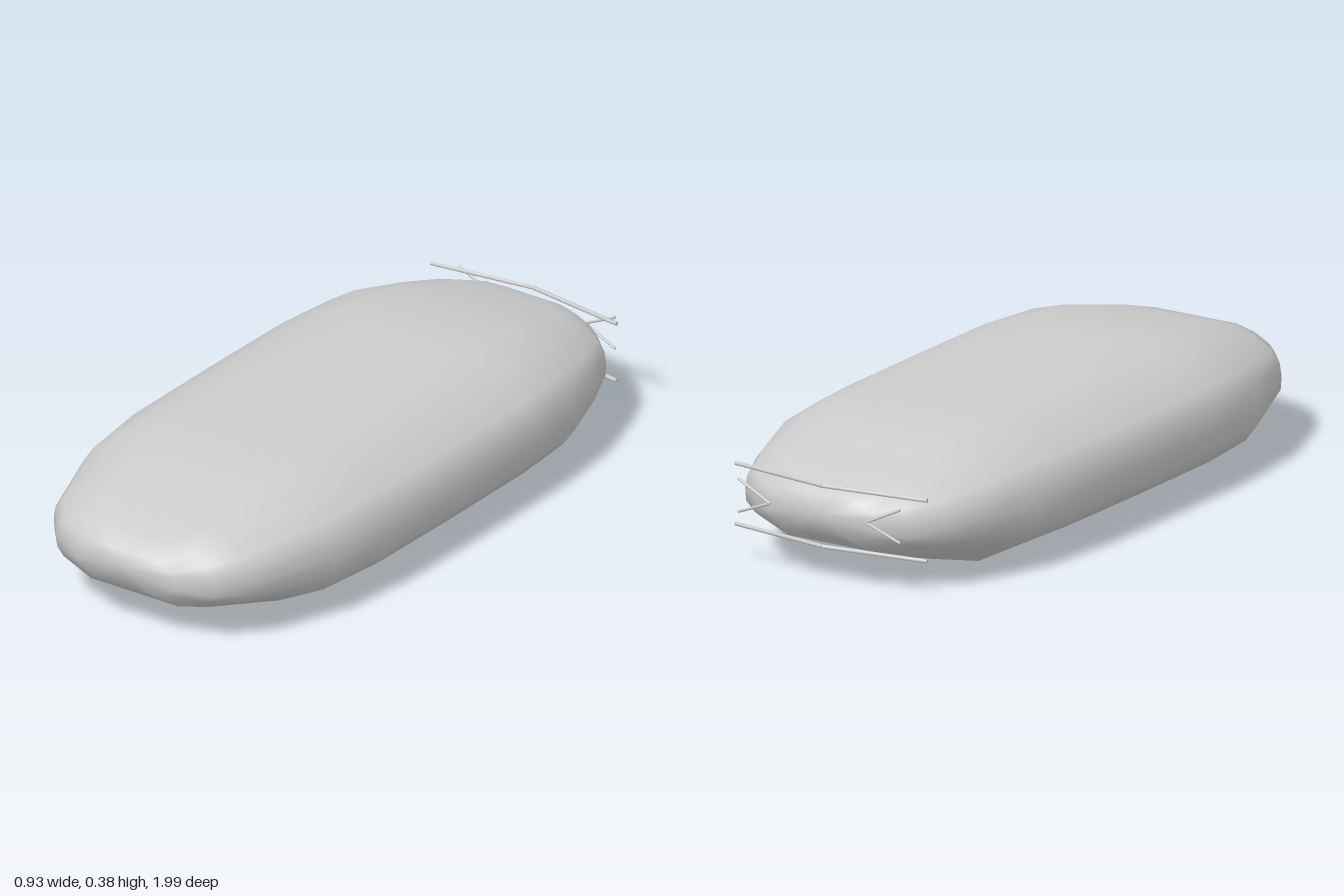
import * as THREE from 'three';

const material = new THREE.MeshStandardMaterial({ color: 0xcccccc });

// Right half of the unit cross-section, from top centre to bottom centre
const half = [[0, 1], [0.25, 1], [0.5, 1], [0.72, 0.85], [0.91, 0.56], [0.98, 0.32], [1, 0],
  [0.99, -0.33], [0.91, -0.57], [0.74, -0.78], [0.56, -1], [0.28, -1], [0, -1]];
const section = [...half, ...half.slice(1, -1).reverse().map(([x, y]) => [-x, y])];

// Stations along the body: z, half width, top, bottom
const stations = [
  [0.97, 0.17, 0.25, 0.14],
  [0.92, 0.27, 0.29, 0.1],
  [0.83, 0.345, 0.315, 0.075],
  [0.57, 0.435, 0.375, 0.005],
  [0.35, 0.46, 0.385, 0],
  [0, 0.463, 0.385, 0],
  [-0.35, 0.46, 0.385, 0],
  [-0.55, 0.44, 0.38, 0],
  [-0.72, 0.39, 0.34, 0.045],
  [-0.85, 0.335, 0.305, 0.08],
  [-0.92, 0.26, 0.285, 0.105],
  [-0.965, 0.18, 0.26, 0.14],
];

// Smooth loft through the stations, closed by a point at each end
function bodyGeometry() {
  const positions = [], index = [], n = section.length, last = stations.length - 1;
  for (const [z, w, top, bottom] of stations) {
    const middle = (top + bottom) / 2, h = (top - bottom) / 2;
    for (const [x, y] of section) positions.push(x * w, middle + y * h, z);
  }
  const front = positions.length / 3, back = front + 1;
  positions.push(0, 0.21, 0.993, 0, 0.21, -1);
  for (let j = 0; j < n; j++) {
    const k = (j + 1) % n;
    for (let i = 0; i < last; i++) {
      const a = i * n + j, b = i * n + k;
      index.push(a, b, a + n, b, b + n, a + n);
    }
    index.push(front, k, j, back, last * n + j, last * n + k);
  }
  const geometry = new THREE.BufferGeometry();
  geometry.setAttribute('position', new THREE.Float32BufferAttribute(positions, 3));
  geometry.setIndex(index);
  geometry.computeVertexNormals();
  return geometry;
}

// Thin bent rod made of straight pieces between points
function bentRod(name, points, radius) {
  const path = new THREE.CurvePath();
  const group = new THREE.Group();
  group.name = name;
  const v = points.map((p) => new THREE.Vector3(...p));
  for (let i = 1; i < v.length; i++) {
    const along = v[i].clone().sub(v[i - 1]);
    const rod = new THREE.Mesh(new THREE.CylinderGeometry(radius, radius, along.length(), 8), material);
    rod.position.copy(v[i]).add(v[i - 1]).multiplyScalar(0.5);
    rod.quaternion.setFromUnitVectors(new THREE.Vector3(0, 1, 0), along.normalize());
    rod.name = name + 'Piece';
    group.add(rod);
  }
  return group;
}

export function createModel() {
  const model = new THREE.Group();
  model.name = 'roundedBody';
  const body = new THREE.Mesh(bodyGeometry(), material);
  body.name = 'body';
  model.add(body);

  // Long bent trim rods across the back
  for (const [name, y] of [['upperTrim', 0.285], ['lowerTrim', 0.108]]) {
    model.add(bentRod(name, [[-0.32, y, -0.92], [0, y, -0.965], [0.32, y, -0.92]], 0.006));
  }

  // Small chevrons at the back, opening outwards
  for (const [name, s] of [['leftChevron', 1], ['rightChevron', -1]]) {
    model.add(bentRod(name, [[s * 0.27, 0.265, -0.982], [s * 0.16, 0.212, -0.99], [s * 0.27, 0.168, -0.982]], 0.004));
  }
  return model;
}
